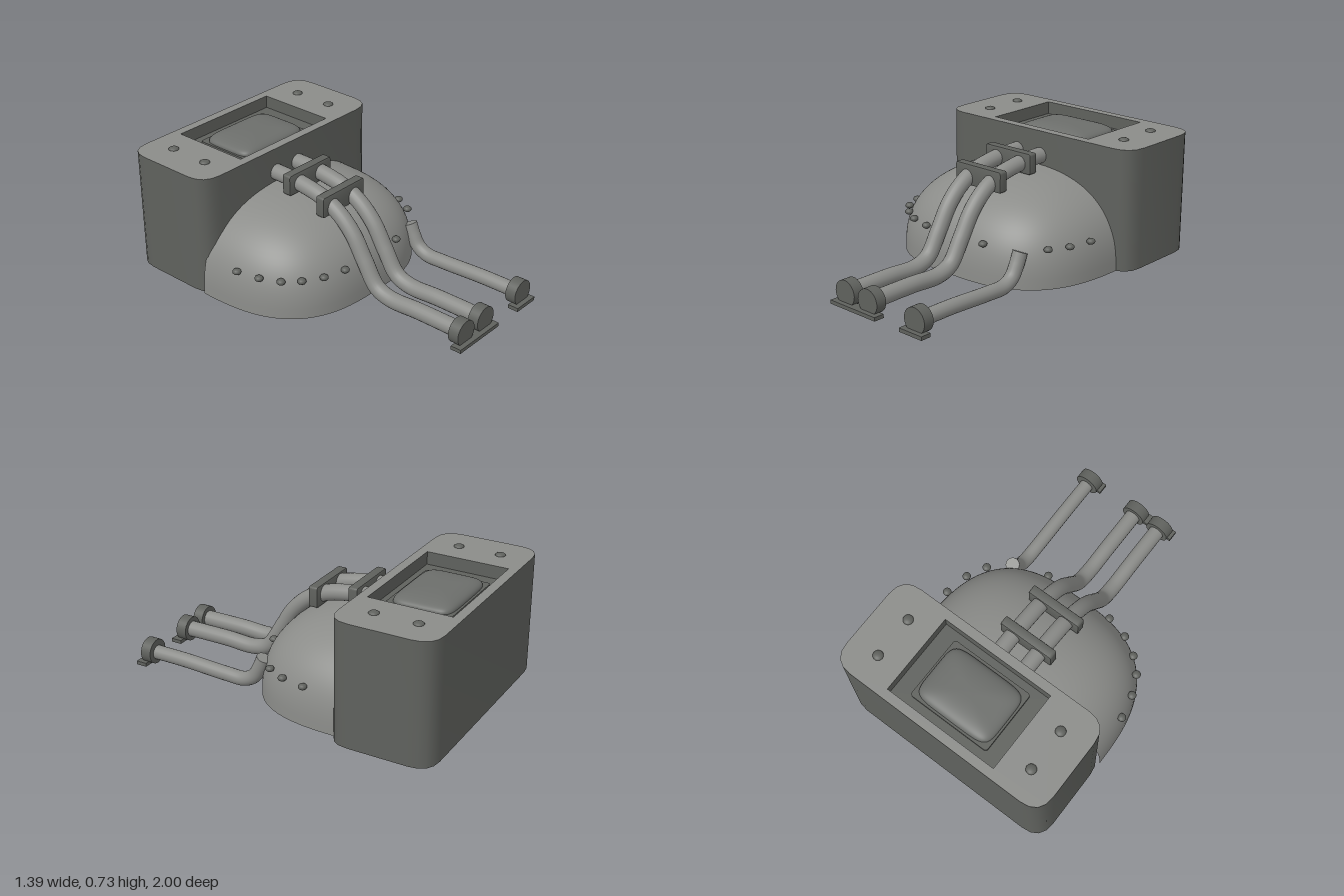
import * as THREE from 'three';
import { toCreasedNormals } from 'three/addons/utils/BufferGeometryUtils.js';

const light = new THREE.MeshStandardMaterial({ color: 0x8b8c89, side: THREE.DoubleSide });
light.name = 'light grey metal';
const mid = new THREE.MeshStandardMaterial({ color: 0x6c6e6b });
mid.name = 'mid grey metal';
const dark = new THREE.MeshStandardMaterial({ color: 0x5f615d });
dark.name = 'dark grey metal';

// Upper half of a superellipsoid, swept from angle 0 to sweep
function domeGeometry(hw, h, hd, outlinePow, profilePow, sweep) {
  const nu = 64, nv = 24, pos = [], idx = [];
  const sp = (v, n) => Math.sign(v) * Math.pow(Math.abs(v) < 1e-6 ? 0 : Math.abs(v), 2 / n);
  for (let i = 0; i <= nu; i++) {
    const t = (i / nu) * sweep;
    for (let j = 0; j <= nv; j++) {
      const p = (j / nv) * Math.PI / 2, r = sp(Math.cos(p), profilePow);
      pos.push(hw * r * sp(Math.cos(t), outlinePow), h * sp(Math.sin(p), profilePow), hd * r * sp(Math.sin(t), outlinePow));
      if (i < nu && j < nv) {
        const a = i * (nv + 1) + j, b = a + nv + 1;
        idx.push(a, a + 1, b);
        if (j < nv - 1) idx.push(b, a + 1, b + 1);
      }
    }
  }
  const g = new THREE.BufferGeometry();
  g.setAttribute('position', new THREE.Float32BufferAttribute(pos, 3));
  g.setIndex(idx);
  g.computeVertexNormals();
  return g;
}

// Rectangle with rounded corners, centred on the origin
function roundedRect(hw, hd, r) {
  const s = new THREE.Shape();
  s.moveTo(-hw + r, -hd);
  s.lineTo(hw - r, -hd);
  s.quadraticCurveTo(hw, -hd, hw, -hd + r);
  s.lineTo(hw, hd - r);
  s.quadraticCurveTo(hw, hd, hw - r, hd);
  s.lineTo(-hw + r, hd);
  s.quadraticCurveTo(-hw, hd, -hw, hd - r);
  s.lineTo(-hw, -hd + r);
  s.quadraticCurveTo(-hw, -hd, -hw + r, -hd);
  return s;
}

export function createModel() {
  const model = new THREE.Group();
  const add = (name, geo, mat, x = 0, y = 0, z = 0) => {
    const m = new THREE.Mesh(geo, mat);
    m.name = name;
    m.position.set(x, y, z);
    model.add(m);
    return m;
  };
  const box = (name, x0, x1, y0, y1, z0, z1) =>
    add(name, new THREE.BoxGeometry(x1 - x0, y1 - y0, z1 - z0), dark, (x0 + x1) / 2, (y0 + y1) / 2, (z0 + z1) / 2);

  // Rear housing: walls round a recess, with a lighter top face
  const ring = roundedRect(0.692, 0.3, 0.125);
  ring.holes.push(new THREE.Path([[-0.355, -0.245], [-0.355, 0.245], [0.355, 0.245], [0.355, -0.245]].map(p => new THREE.Vector2(...p))));
  const slab = (shape, depth) => {
    const g = new THREE.ExtrudeGeometry(shape, { depth, bevelEnabled: false, curveSegments: 4 });
    g.rotateX(-Math.PI / 2);
    return toCreasedNormals(g, 0.7);
  };
  add('housingWalls', slab(ring, 0.71), dark, 0, 0, -0.7);
  add('housingTop', slab(ring, 0.006), [light, dark], 0, 0.71, -0.7);
  box('recessFloor', -0.355, 0.355, 0, 0.64, -0.945, -0.455);

  // Hatch in the recess
  add('hatchFrame', slab(roundedRect(0.257, 0.193, 0.02), 0.014), dark, 0, 0.64, -0.693);
  add('hatchCushion', domeGeometry(0.245, 0.055, 0.178, 6, 2.6, Math.PI * 2), mid, 0, 0.652, -0.695);

  // Open half dome in front of the housing
  add('domeShell', domeGeometry(0.655, 0.515, 0.71, 2.85, 2.55, Math.PI), light, -0.04, 0, -0.44);

  // Rivets on the dome and on the housing top
  const stud = new THREE.SphereGeometry(1, 14, 10);
  const rivet = (name, x, y, z, r, h) => add(name, stud, dark, x, y, z).scale.set(r, h, r);
  const domeRivets = [
    [-0.665, -0.2], [-0.635, -0.06], [-0.583, 0.055], [-0.503, 0.135], [-0.395, 0.2], [-0.26, 0.235],
    [0.182, 0.235], [0.503, 0.06], [0.562, -0.055], [0.592, -0.2]];
  for (const [x, z] of domeRivets) rivet('domeRivet', x, 0.23, z, 0.025, 0.018);
  for (const x of [-0.513, 0.513])
    for (const z of [-0.83, -0.577]) rivet('housingRivet', x, 0.716, z, 0.03, 0.015);

  // Pipes with flat end caps; points are [y, z]
  const pipe = (name, x, r, points) => {
    const curve = new THREE.CatmullRomCurve3(points.map(([y, z]) => new THREE.Vector3(x, y, z)));
    add(name, new THREE.TubeGeometry(curve, 64, r, 20), light);
    const end = curve.getPoint(1);
    const cap = add(name + 'Cap', new THREE.CircleGeometry(r, 20), light, end.x, end.y, end.z);
    cap.lookAt(end.clone().add(curve.getTangent(1)));
  };
  const longPath = [[0.075, 0.93], [0.075, 0.65], [0.07, 0.45], [0.105, 0.355], [0.24, 0.265],
    [0.375, 0.18], [0.465, 0.085], [0.525, -0.03], [0.557, -0.18], [0.568, -0.3], [0.57, -0.46]];
  const shortPath = [[0.07, 0.93], [0.068, 0.7], [0.055, 0.42], [0.056, 0.3], [0.09, 0.235], [0.155, 0.195], [0.22, 0.167]];
  pipe('leftLongPipe', 0.045, 0.047, longPath);
  pipe('rightLongPipe', -0.13, 0.047, longPath);
  pipe('shortPipe', 0.395, 0.042, shortPath);

  // Round end fittings on flat feet
  const disc = new THREE.CylinderGeometry(0.074, 0.074, 0.065, 32).rotateX(Math.PI / 2);
  for (const x of [-0.13, 0.045, 0.395]) add('pipeFitting', disc, dark, x, 0.075, 0.938);
  box('doubleFoot', -0.215, 0.13, 0, 0.022, 0.935, 1);
  box('singleFoot', 0.312, 0.475, 0, 0.022, 0.935, 1);

  // Clamps across the long pipes
  const clamp = (y, z) => {
    const g = new THREE.ExtrudeGeometry(roundedRect(0.165, 0.055, 0.008),
      { depth: 0.042, bevelThickness: 0.007, bevelSize: 0.007, bevelSegments: 2, curveSegments: 3 });
    add('pipeClamp', toCreasedNormals(g, 0.6), dark, -0.043, y, z - 0.021);
  };
  clamp(0.518, 0.008);
  clamp(0.568, -0.243);

  return model;
}
